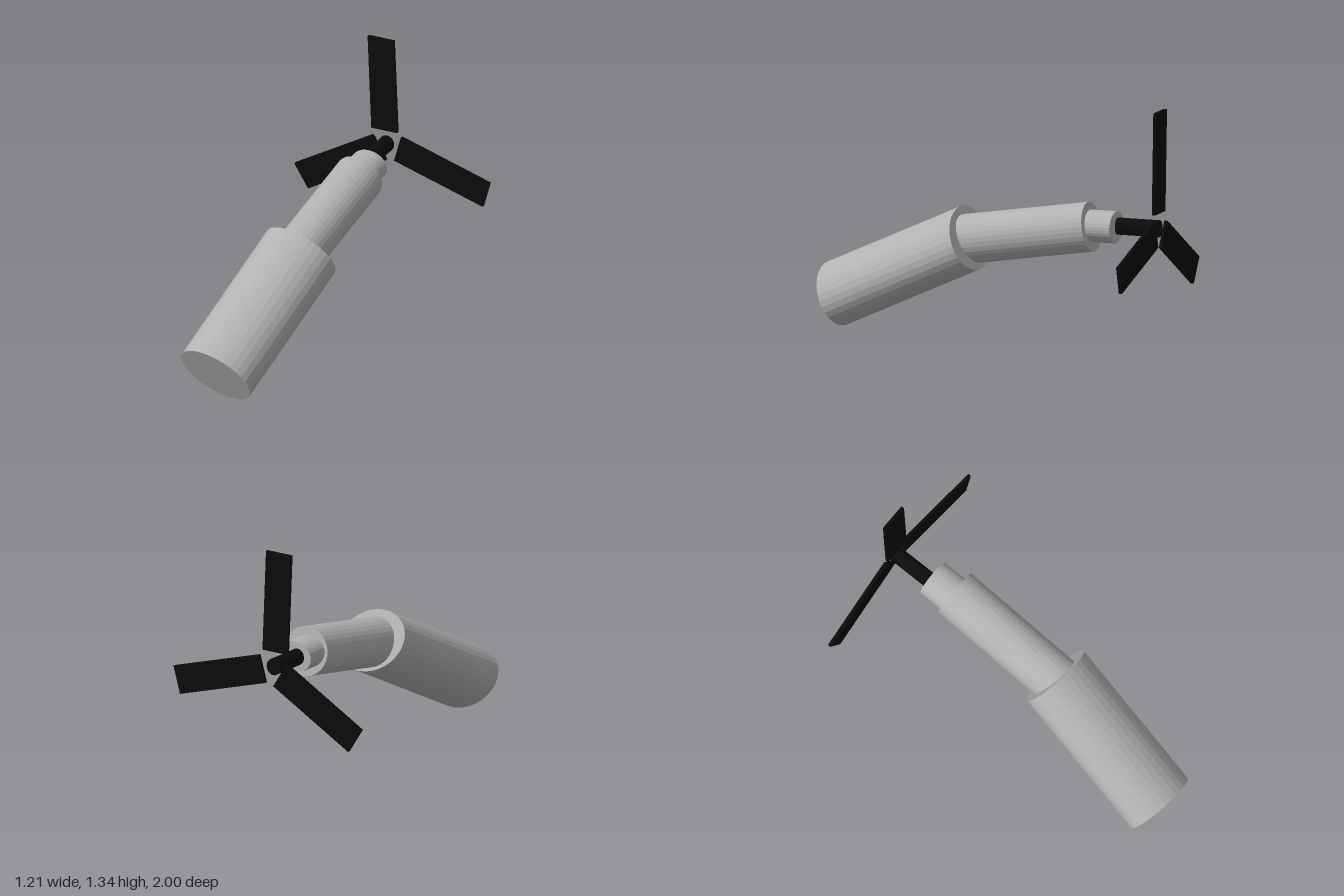
import * as THREE from 'three';

const metal = new THREE.MeshStandardMaterial({ color: 0xb2b2b2, flatShading: true });
metal.name = 'grey metal';
const black = new THREE.MeshStandardMaterial({ color: 0x0b0b0b, flatShading: true });
black.name = 'black';

// Oval tube between two points; rx is its width radius, ry its height radius,
// roll turns the oval about the axis (radians).
function tube(name, material, from, to, rx, ry, roll = 0) {
  const a = new THREE.Vector3(...from);
  const b = new THREE.Vector3(...to);
  const axis = b.clone().sub(a);
  const geometry = new THREE.CylinderGeometry(1, 1, axis.length(), 32);
  geometry.scale(rx, 1, ry);
  axis.normalize();
  const side = new THREE.Vector3(1, 0, 0).addScaledVector(axis, -axis.x).normalize();
  side.applyAxisAngle(axis, -roll);
  const up = new THREE.Vector3().crossVectors(side, axis);
  const mesh = new THREE.Mesh(geometry, material);
  mesh.quaternion.setFromRotationMatrix(new THREE.Matrix4().makeBasis(side, axis, up));
  mesh.position.copy(a).add(b).multiplyScalar(0.5);
  mesh.name = name;
  return mesh;
}

export function createModel() {
  const model = new THREE.Group();
  model.name = 'propellerTube';

  // Telescoping bent body, widest at the front
  model.add(
    tube('frontBody', metal, [-0.085, 0.162, 0.925], [0.012, 0.558, 0.107], 0.22, 0.174, -0.293),
    tube('middleBody', metal, [0, 0.535, 0.2], [0, 0.675, -0.6], 0.14, 0.137),
    tube('rearCollar', metal, [-0.012, 0.675, -0.5], [-0.012, 0.68, -0.742], 0.108, 0.088),
    tube('shaft', black, [-0.033, 0.682, -0.7], [-0.033, 0.687, -0.988], 0.044, 0.047)
  );

  // Three flat propeller blades: centre and angle in degrees
  const propeller = new THREE.Group();
  propeller.name = 'propeller';
  const blades = [
    ['upperBlade', -0.053, 1.055, -0.979, 92.3],
    ['leftBlade', 0.308, 0.595, -0.99, -15],
    ['rightBlade', -0.32, 0.498, -0.99, 32],
  ];
  for (const [name, x, y, z, angle] of blades) {
    const blade = new THREE.Mesh(new THREE.BoxGeometry(0.567, 0.16, 0.018), black);
    blade.position.set(x, y, z);
    blade.rotation.z = THREE.MathUtils.degToRad(angle);
    blade.name = name;
    propeller.add(blade);
  }
  model.add(propeller);
  return model;
}
